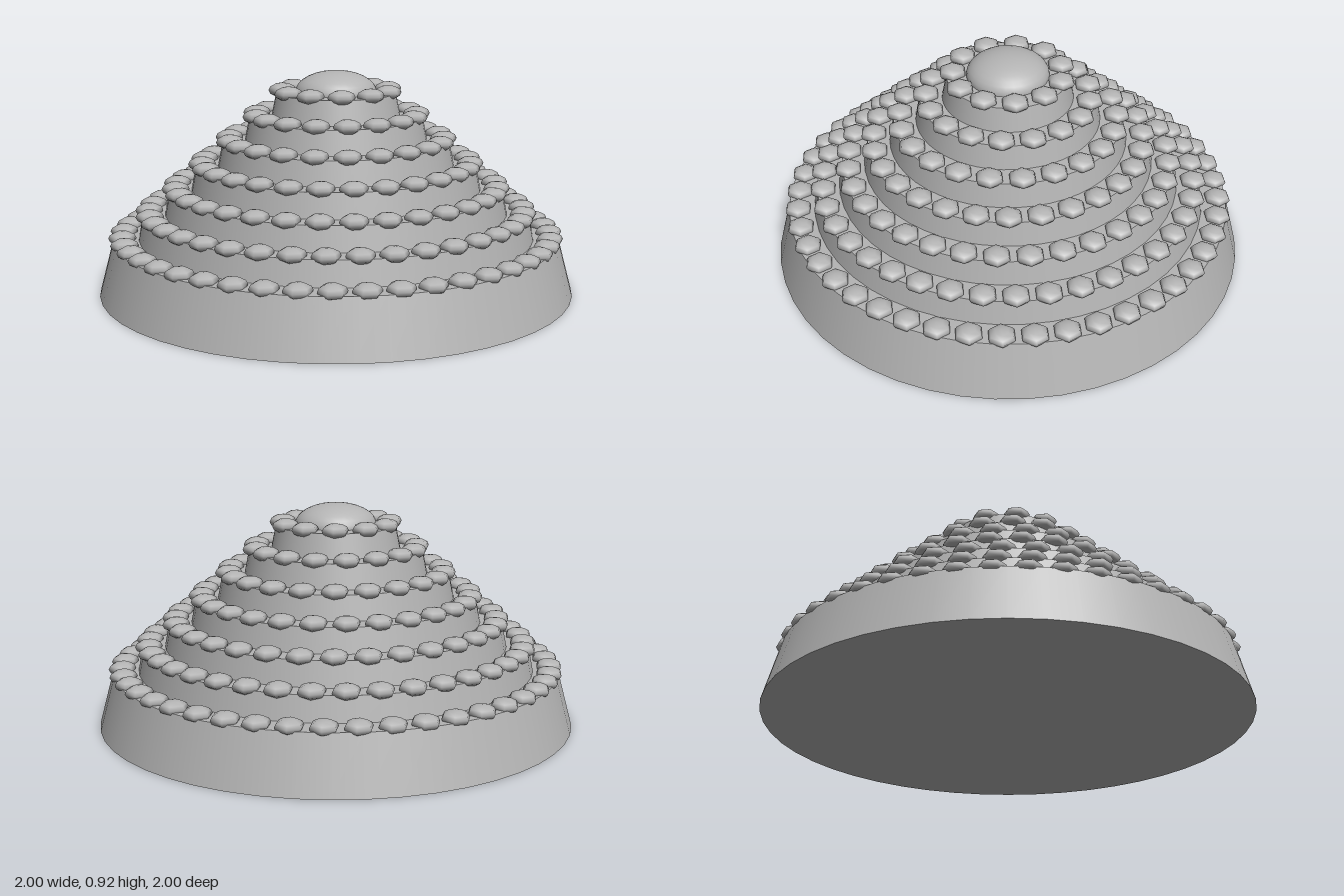
import * as THREE from 'three';

export function createModel() {
  const model = new THREE.Group();
  const stone = new THREE.MeshStandardMaterial({ color: 0xb4b4b4 });
  stone.name = 'grey stone';

  const add = (name, geometry, y, parent = model) => {
    const mesh = new THREE.Mesh(geometry, stone);
    mesh.name = name;
    mesh.position.y = y;
    parent.add(mesh);
    return mesh;
  };

  // Flattened six-sided bead, points facing front and back
  const bead = new THREE.SphereGeometry(0.058, 6, 6);
  bead.rotateY(Math.PI / 6);
  bead.scale(1, 0.52, 1);

  // Stepped tiers, each rimmed by a ring of beads
  const counts = [45, 39, 33, 28, 22, 17, 11];
  counts.forEach((count, i) => {
    const ringRadius = 0.9 - i * 0.1125;
    const top = 0.23 + i * 0.1;
    const height = i ? 0.1 : 0.23;
    const topRadius = ringRadius + (i ? 0.025 : 0.038);
    const bottomRadius = i ? ringRadius + 0.045 : 1;
    add(i ? 'tier' + i : 'base',
      new THREE.CylinderGeometry(topRadius, bottomRadius, height, 48), top - height / 2);

    const ring = new THREE.Group();
    ring.name = 'beadRing' + (i + 1);
    model.add(ring);
    for (let k = 0; k < count; k++) {
      const a = (k / count) * Math.PI * 2;
      const b = add('bead', bead, top + 0.008, ring);
      b.position.x = Math.cos(a) * ringRadius;
      b.position.z = Math.sin(a) * ringRadius;
    }
  });

  // Low dome on the summit
  const dome = new THREE.SphereGeometry(0.17, 32, 16);
  dome.scale(1, 0.52, 1);
  add('dome', dome, 0.832);

  return model;
}
